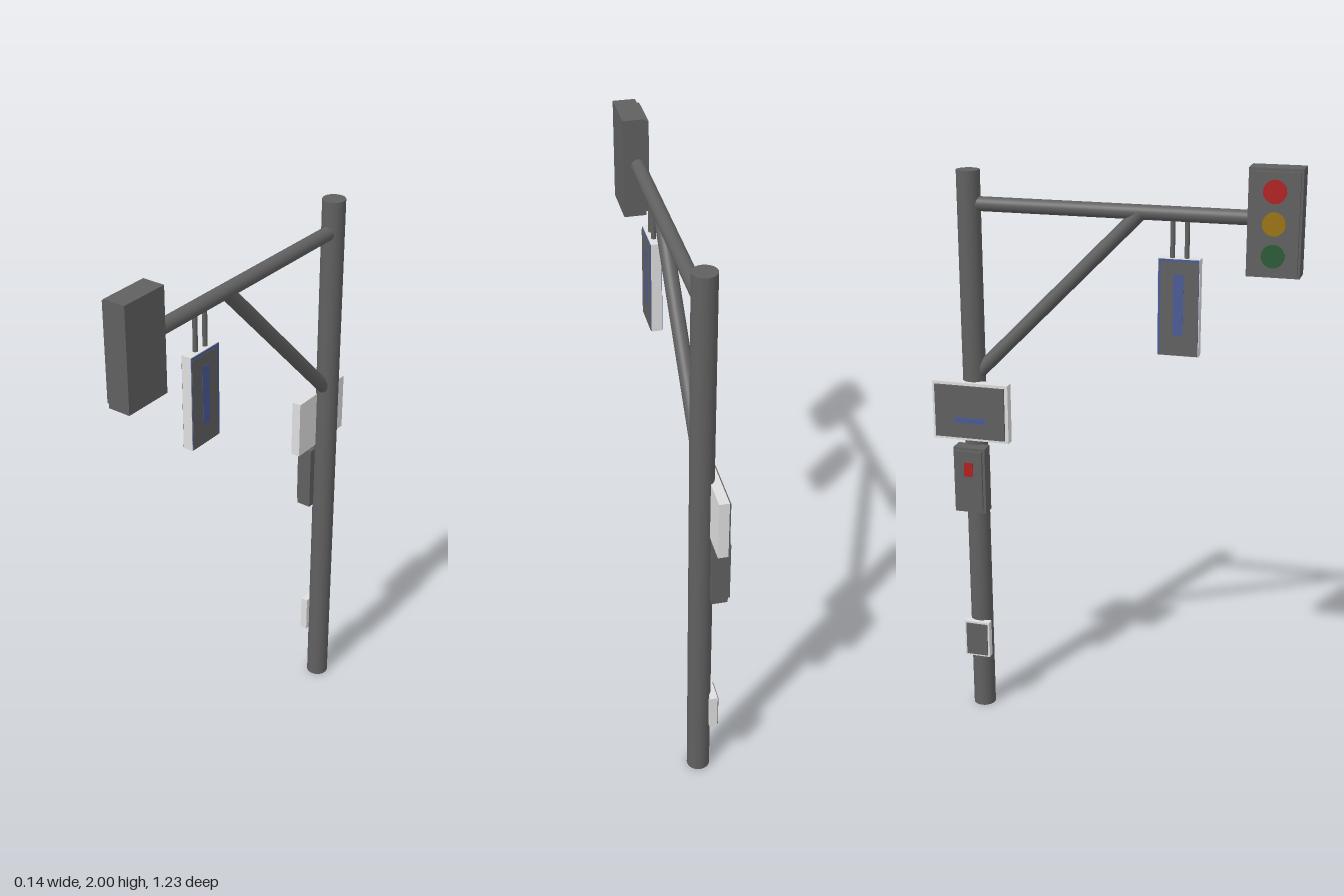
import * as THREE from 'three';

const mat = (name, color) => {
  const m = new THREE.MeshStandardMaterial({ color });
  m.name = name;
  return m;
};

export function createModel() {
  const root = new THREE.Group();
  root.name = 'trafficSignalPole';
  const dark = mat('dark grey', 0x606060);
  const light = mat('light grey', 0xdedede);
  const blue = mat('blue', 0x4a5a96);
  const red = mat('red', 0xb02020);
  const amber = mat('amber', 0x9a7410);
  const green = mat('dark green', 0x2c5a38);

  const add = (name, geo, m) => {
    const mesh = new THREE.Mesh(geo, m);
    mesh.name = name;
    root.add(mesh);
    return mesh;
  };
  // Box given by its limits on each axis
  const box = (name, m, [x0, x1], [y0, y1], [z0, z1]) =>
    add(name, new THREE.BoxGeometry(x1 - x0, y1 - y0, z1 - z0), m)
      .position.set((x0 + x1) / 2, (y0 + y1) / 2, (z0 + z1) / 2);
  // Round bar between two points
  const bar = (name, m, a, b, r, seg = 32) => {
    const p = new THREE.Vector3(...a), q = new THREE.Vector3(...b);
    const d = q.clone().sub(p);
    const mesh = add(name, new THREE.CylinderGeometry(r, r, d.length(), seg), m);
    mesh.position.copy(p).add(q).multiplyScalar(0.5);
    mesh.quaternion.setFromUnitVectors(new THREE.Vector3(0, 1, 0), d.normalize());
  };
  // Thin round lens facing -x
  const lens = (name, m, x, y, z, r) => bar(name, m, [x + 0.004, y, z], [x - 0.004, y, z], r, 24);

  // Pole, arm and brace
  const cx = 0.016, pz = -0.48;
  bar('pole', dark, [cx, 0, pz], [cx, 1.95, pz], 0.039);
  bar('arm', dark, [cx, 1.84, pz], [cx, 1.84, 0.46], 0.024);
  bar('brace', dark, [0.014, 1.26, -0.47], [0.014, 1.84, 0.1], 0.024);

  // Signal head with its face plate and lenses
  box('signalHousing', dark, [-0.01, 0.065], [1.66, 2], [0.445, 0.615]);
  box('signalFace', dark, [-0.022, -0.01], [1.67, 1.99], [0.452, 0.608]);
  [['redLens', red], ['amberLens', amber], ['greenLens', green]].forEach(([n, m], i) =>
    lens(n, m, -0.022, 1.93 - i * 0.1, 0.53, 0.037));

  // Hanging sign with a panel and stripe on both sides
  for (const z of [0.204, 0.251]) bar('signHanger', dark, [cx, 1.69, z], [cx, 1.83, z], 0.008, 16);
  box('hangingSign', light, [0, 0.034], [1.38, 1.7], [0.16, 0.297]);
  for (const s of [-1, 1]) {
    const plate = (name, m, d, y, z) => {
      const x = 0.017 + s * (0.017 + d);
      box(name, m, [x - 0.001, x + 0.001], y, z);
    };
    plate('signBorder', blue, 0.001, [1.382, 1.698], [0.162, 0.295]);
    plate('signPanel', dark, 0.002, [1.382, 1.69], [0.17, 0.294]);
    plate('signStripe', blue, 0.003, [1.45, 1.65], [0.212, 0.245]);
  }

  // Wide street sign
  box('streetSign', light, [-0.037, -0.004], [1.035, 1.24], [-0.615, -0.345]);
  box('streetSignPanel', dark, [-0.044, -0.037], [1.045, 1.23], [-0.605, -0.357]);
  box('streetSignStripe', blue, [-0.046, -0.044], [1.1, 1.118], [-0.535, -0.425]);

  // Pedestrian signal
  box('pedestrianHousing', dark, [-0.06, -0.008], [0.78, 1.015], [-0.537, -0.425]);
  box('pedestrianFace', dark, [-0.069, -0.06], [0.79, 1.005], [-0.528, -0.434]);
  box('pedestrianLight', red, [-0.071, -0.069], [0.915, 0.965], [-0.497, -0.465]);

  // Low push-button box
  box('buttonBox', light, [-0.038, -0.012], [0.21, 0.345], [-0.528, -0.436]);
  box('buttonPanel', dark, [-0.042, -0.038], [0.217, 0.338], [-0.521, -0.443]);

  return root;
}
